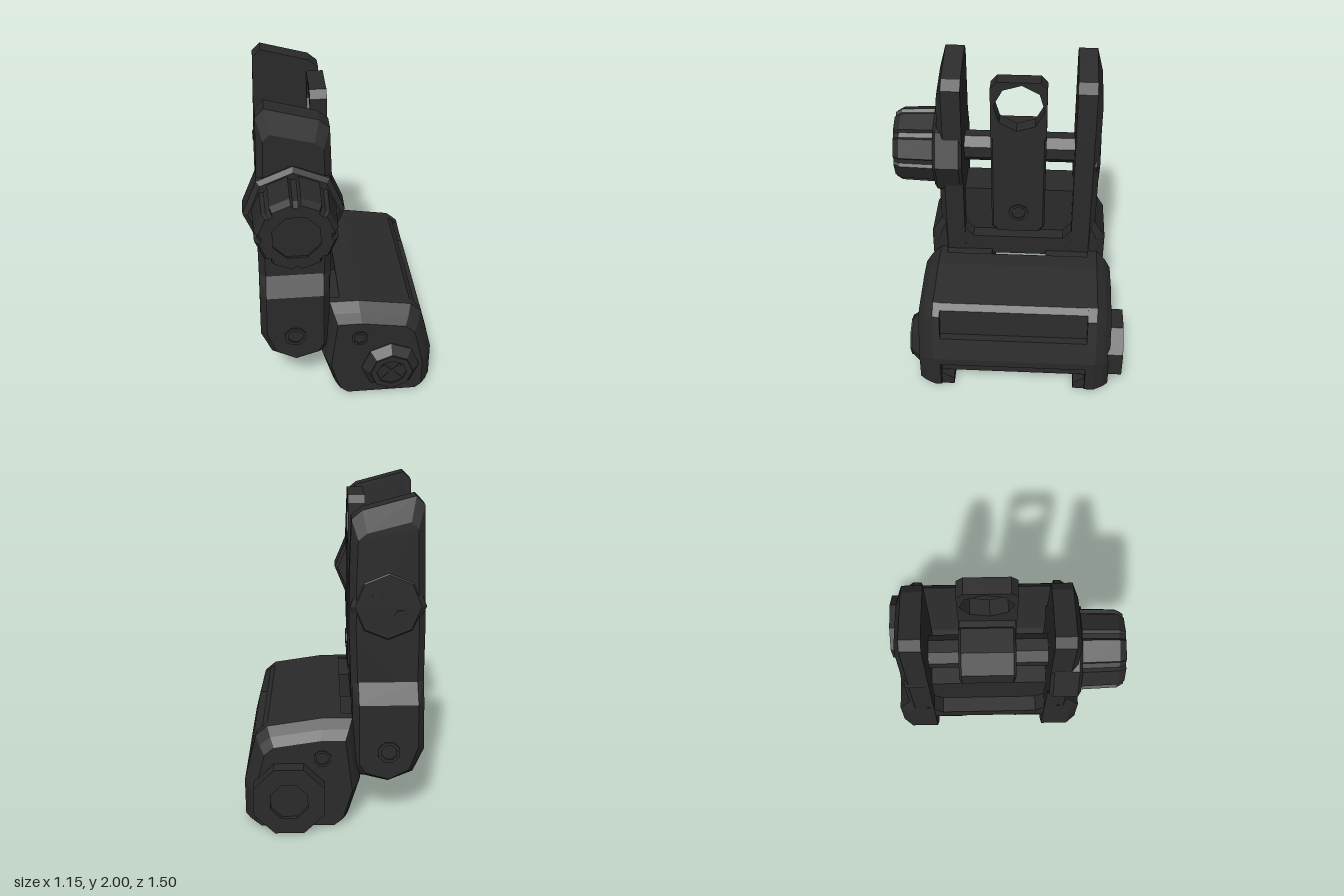
import * as THREE from 'three';
import { ConvexGeometry } from 'three/addons/geometries/ConvexGeometry.js';

const black = new THREE.MeshStandardMaterial({ color: 0x2a2a2a });
black.name = 'matteBlack';
const EIGHTH = Math.PI / 8;

export function createModel() {
  const model = new THREE.Group();
  model.name = 'foldingRearSight';

  // Adds a mesh with faceted normals
  function add(name, geometry) {
    const g = geometry.index ? geometry.toNonIndexed() : geometry;
    g.computeVertexNormals();
    const mesh = new THREE.Mesh(g, black);
    mesh.name = name;
    model.add(mesh);
    return mesh;
  }

  const hull = pts => new ConvexGeometry(pts.map(p => new THREE.Vector3(...p)));

  // Convex block from an x-y outline repeated at [z, inset] stations
  function block(outline, stations) {
    const xs = outline.map(p => p[0]), ys = outline.map(p => p[1]);
    const x0 = Math.min(...xs), x1 = Math.max(...xs), y0 = Math.min(...ys), y1 = Math.max(...ys);
    const cx = (x0 + x1) / 2, cy = (y0 + y1) / 2;
    const pts = [];
    for (const [z, inset, insetY = inset] of stations) {
      const sx = 1 - 2 * inset / (x1 - x0), sy = 1 - 2 * insetY / (y1 - y0);
      for (const [x, y] of outline) pts.push([cx + (x - cx) * sx, cy + (y - cy) * sy, z]);
    }
    return hull(pts);
  }

  const polygon = (cx, cy, r, n = 8, turn = 0) => Array.from({ length: n }, (_, i) => {
    const a = turn + i * Math.PI * 2 / n;
    return [cx + r * Math.cos(a), cy + r * Math.sin(a)];
  });
  const shapeOf = (pts, hole) => {
    const s = new THREE.Shape(pts.map(p => new THREE.Vector2(...p)));
    if (hole) s.holes.push(new THREE.Path(hole.map(p => new THREE.Vector2(...p))));
    return s;
  };

  // Extrusion of an x-y outline from z0 to z1
  const slab = (pts, z0, z1, hole) => new THREE.ExtrudeGeometry(shapeOf(pts, hole),
    { depth: z1 - z0, bevelEnabled: false }).translate(0, 0, z0);

  // Extrusion of a z-y outline from x0 to x1
  const crossSlab = (pts, x0, x1, hole) => new THREE.ExtrudeGeometry(shapeOf(pts, hole),
    { depth: x1 - x0, bevelEnabled: false }).rotateY(-Math.PI / 2).translate(x1, 0, 0);

  // Screw head: thin rim on an end facing along dir
  function screw(name, x, y, z, r, dir) {
    const tip = z + dir * 0.009;
    add(name + 'Rim', slab(polygon(x, y, r, 8, EIGHTH), Math.min(z, tip), Math.max(z, tip),
      polygon(x, y, r * 0.7, 8, EIGHTH)));
  }

  // Base: middle with a pocket in its outer slope and an undercut below
  const middle = [[-0.015, 0.1], [0.5, 0.1], [0.5, 0.14], [0.575, 0.22], [0.575, 0.27], [0.54, 0.42],
    [0.49, 0.42], [0.465, 0.595], [0.43, 0.63], [0.1, 0.68], [-0.015, 0.68]];
  add('baseMiddle', slab(middle, -0.51, 0.43));

  // Base end blocks, chamfered along the top and both sides
  const end = [[-0.08, 0.68], [0.1, 0.68], [0.43, 0.63], [0.5, 0.57], [0.575, 0.27], [0.575, 0.04],
    [0.53, 0], [0, 0], [-0.06, 0.05], [-0.13, 0.28], [-0.08, 0.36]];
  for (const [side, inner, shoulder, outer] of [['Front', 0.43, 0.475, 0.575], ['Back', -0.51, -0.57, -0.665]]) {
    const pts = [];
    for (const [t, sx, sy] of [[0, 1, 1], [0.6, 0.92, 0.925], [1, 0.835, 0.84]]) {
      const z = shoulder + (outer - shoulder) * t;
      for (const [x, y] of end) pts.push([0.173 + (x - 0.173) * sx, 0.02 + (y - 0.02) * sy, z]);
    }
    add('baseEnd' + side, hull([...end.map(p => [...p, inner]), ...pts]));
  }

  // Rail clamp lips under the base
  add('clampLipFront', crossSlab([[0.36, 0], [0.45, 0], [0.45, 0.1], [0.43, 0.1], [0.35, 0.05], [0.35, 0]], 0, 0.53));
  add('clampLipBack', crossSlab([[-0.435, 0], [-0.435, 0.05], [-0.51, 0.1], [-0.53, 0.1], [-0.53, 0]], 0, 0.53));

  // Hinge lugs reaching between the arms
  const lug = [[0.02, 0.67], [-0.1, 0.67], [-0.3, 0.64], [-0.43, 0.56], [-0.45, 0.45], [-0.41, 0.34],
    [-0.3, 0.28], [-0.13, 0.27], [0.02, 0.28]];
  add('hingeLugFront', block(lug, [[0.13, 0], [0.44, 0]]));
  add('hingeLugBack', block(lug, [[-0.52, 0], [-0.23, 0]]));

  // Clamp bolt head with a crossed slot
  add('clampBolt', block(polygon(0.3, 0.215, 0.185), [[0.56, 0], [0.58, 0], [0.635, 0.05]]));
  add('clampBoltRim', slab(polygon(0.3, 0.215, 0.135), 0.63, 0.645, polygon(0.3, 0.215, 0.095)));
  for (const turn of [1, 3]) {
    const bar = new THREE.BoxGeometry(0.16, 0.025, 0.01).rotateZ(turn * Math.PI / 4);
    add('clampBoltCross', bar.translate(0.3, 0.215, 0.635));
  }

  // Clamp nut with a recessed centre
  const socket = polygon(0.3, 0.215, 0.12, 8, EIGHTH);
  add('clampNut', slab(polygon(0.3, 0.215, 0.23, 8, EIGHTH), -0.75, -0.65, socket));
  add('clampNutCentre', slab(socket, -0.725, -0.65));
  screw('basePinFront', 0.1, 0.46, 0.575, 0.055, 1);
  screw('basePinBack', 0.1, 0.46, -0.665, 0.055, -1);

  // Two arms, each an upper blade and a wider foot
  const blade = [[-0.43, 2], [-0.48, 1.95], [-0.49, 1.55], [-0.505, 1.2], [-0.508, 0.6], [-0.08, 0.6],
    [-0.06, 1.2], [-0.06, 1.55], [-0.07, 1.87], [-0.13, 1.92]];
  const foot = [[-0.508, 0.78], [-0.515, 0.47], [-0.45, 0.32], [-0.3, 0.255], [-0.13, 0.3],
    [-0.085, 0.36], [-0.08, 0.78]];
  for (const [side, inner, dir] of [['Front', 0.31, 1], ['Back', -0.395, -1]]) {
    const at = d => inner + dir * d;
    add('armBlade' + side, block(blade, [[inner, 0], [at(0.118), 0], [at(0.155), 0.04, 0.14]]));
    // The foot slopes back into the blade at its top
    add('armFoot' + side, hull([
      ...foot.map(p => [...p, inner]),
      ...foot.map(p => [...p, at(0.17)]),
      ...foot.map(([x, y]) => [-0.297 + (x + 0.297) * 0.82, y > 0.7 ? y : y + 0.035, at(0.225)]),
      [-0.507, 0.9, inner], [-0.077, 0.9, inner], [-0.507, 0.9, at(0.118)], [-0.077, 0.9, at(0.118)],
      [-0.466, 0.9, at(0.155)], [-0.115, 0.9, at(0.155)],
    ]));
    screw('pivotScrew' + side, -0.3, 0.475, at(0.225), 0.07, dir);
  }

  // Bridge joining the arms: a wide sill below a thinner web
  add('bridgeSill', block([[-0.505, 0.78], [-0.505, 0.68], [-0.45, 0.64], [-0.08, 0.64], [-0.08, 0.78]],
    [[-0.41, 0], [0.33, 0]]));
  add('bridgeWeb', new THREE.BoxGeometry(0.24, 0.4, 0.74).translate(-0.29, 0.905, -0.04));
  // Sloped gussets closing the ends of the web
  for (const [z, dir] of [[0.315, -1], [-0.4, 1]]) {
    const g = [[z, 0.75], [z + dir * 0.06, 0.75], [z + dir * 0.06, 0.78], [z, 0.85]];
    add('bridgeGusset', hull([-0.505, -0.08].flatMap(x => g.map(([gz, y]) => [x, y, gz]))));
  }

  // Windage axle with the carrier that holds the aperture plate
  const cx = -0.285, cy = 1.367;
  add('windageAxle', slab(polygon(cx, cy, 0.098, 8, EIGHTH), -0.42, 0.33));
  add('apertureCarrier', block(polygon(cx, cy, 0.195, 8, EIGHTH), [[-0.215, 0.015], [-0.2, 0], [0.105, 0], [0.12, 0.015]]));
  add('carrierLink', new THREE.BoxGeometry(0.2, 0.34, 0.33).translate(-0.22, cy, -0.045));

  // Aperture plate: ring with an eight-sided sighting hole above a chamfered stem
  const ring = [[0.13, 1.56], [0.13, 1.9], [0.09, 1.945], [-0.175, 1.945], [-0.215, 1.9], [-0.215, 1.56]].reverse();
  add('apertureRing', crossSlab(ring, -0.16, -0.06, polygon(-0.045, 1.77, 0.157, 8, 0.1)));
  const stem = [[0.09, 0.84], [0.13, 0.88], [0.13, 1.58], [0.1, 1.61], [-0.19, 1.61], [-0.215, 1.58],
    [-0.215, 0.88], [-0.175, 0.84]];
  add('apertureStem', hull([[-0.16, 1], [-0.075, 1], [-0.06, 0.93]].flatMap(([x, s]) =>
    stem.map(([z, y]) => [x, y > 1.5 ? y : 1.5 + (y - 1.5) * (0.8 + 0.2 * s), -0.043 + (z + 0.043) * s]))));
  add('plateScrewRim', crossSlab(polygon(-0.045, 1, 0.065), -0.062, -0.052, polygon(-0.045, 1, 0.045)));

  // Octagonal collar and fluted windage knob on the front arm
  add('windageCollar', block(polygon(cx, cy, 0.295), [[0.31, 0.02], [0.33, 0], [0.475, 0], [0.495, 0.03]]));
  const flutes = [];
  for (let i = 0; i < 8; i++) {
    for (const [da, r] of [[-0.13, 0.245], [-0.07, 0.225], [0.07, 0.225], [0.13, 0.245]]) {
      const a = i * Math.PI / 4 + da;
      flutes.push([r * Math.cos(a), r * Math.sin(a)]);
    }
  }
  // The knob tapers slightly, then turns in at its end
  const recess = polygon(0, 0, 0.165, 8, EIGHTH);
  for (const [name, z0, z1, s0, s1] of [['knobBody', 0.49, 0.71, 1, 0.965], ['knobRim', 0.71, 0.75, 0.965, 0.87]]) {
    const g = slab(flutes, 0, z1 - z0, recess);
    const pos = g.attributes.position;
    for (let i = 0; i < pos.count; i++) {
      const s = s0 + (s1 - s0) * pos.getZ(i) / (z1 - z0);
      pos.setXY(i, pos.getX(i) * s, pos.getY(i) * s);
    }
    add(name, g.translate(cx, cy, z0));
  }
  add('knobFace', slab(recess, 0.49, 0.715)).position.set(cx, cy, 0);

  // Windage dial with two detent pins on the back arm
  add('windageDial', block(polygon(cx, cy, 0.222), [[-0.42, 0], [-0.535, 0], [-0.555, 0.03]]));
  for (const s of [-1, 1]) {
    add('dialPin', slab(polygon(cx + s * 0.07, cy + s * 0.05, 0.035, 6), -0.559, -0.55));
  }

  return model;
}
